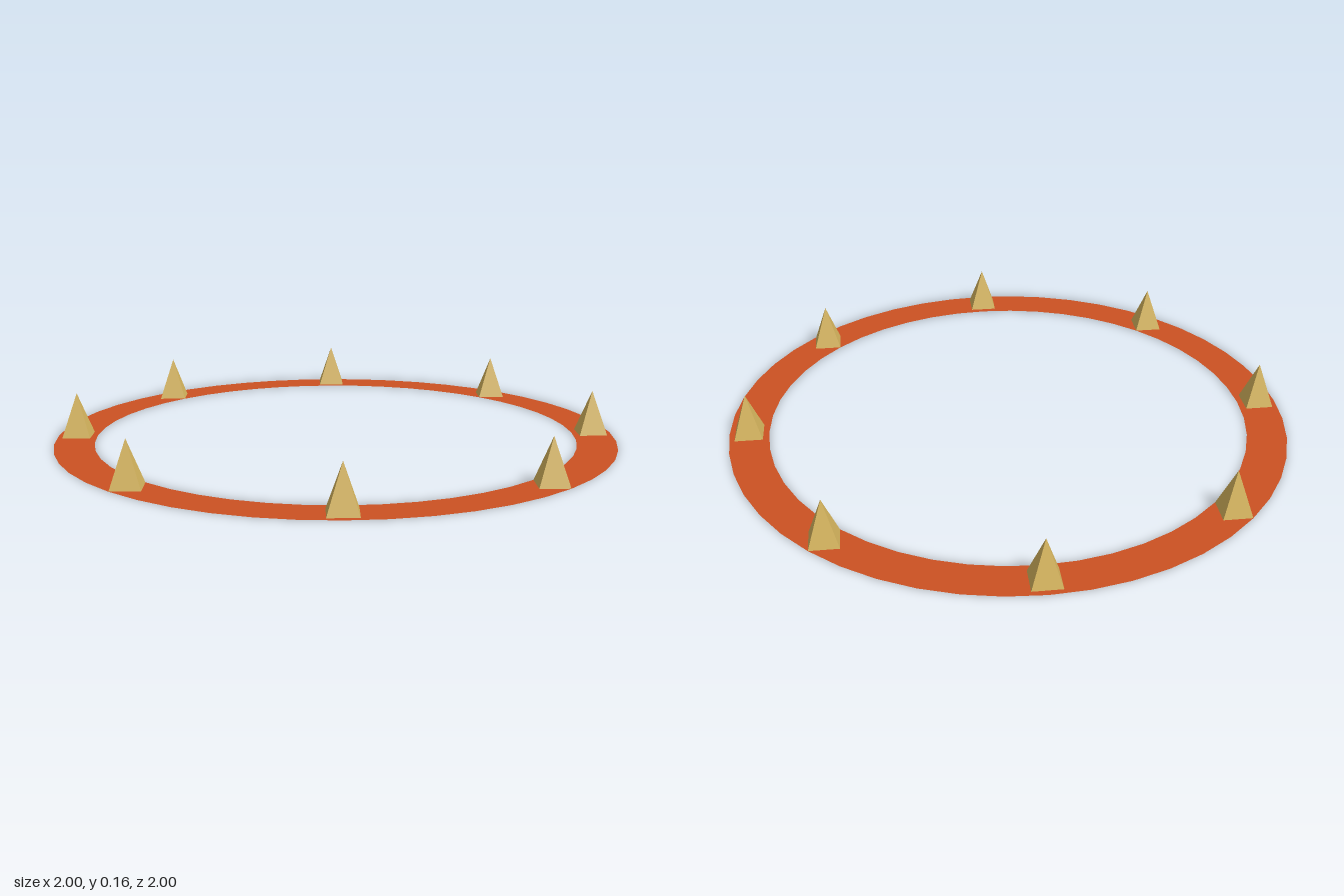
import * as THREE from 'three';

export function createModel() {
  const model = new THREE.Group();
  const orange = new THREE.MeshStandardMaterial({ color: 0xcc5122, side: THREE.DoubleSide });
  orange.name = 'burnt orange';
  const gold = new THREE.MeshStandardMaterial({ color: 0xd6b55e, flatShading: true });
  gold.name = 'gold';

  // Flat band lying on the ground
  const ringGeometry = new THREE.RingGeometry(0.86, 1, 48);
  ringGeometry.rotateX(-Math.PI / 2);
  const ring = new THREE.Mesh(ringGeometry, orange);
  ring.name = 'ring';
  model.add(ring);

  // Eight square pyramids, all aligned with the axes; the band closes their bases
  const height = 0.155;
  const spikeGeometry = new THREE.ConeGeometry(0.07, height, 4, 1, true);
  spikeGeometry.rotateY(Math.PI / 4);
  spikeGeometry.translate(0, height / 2, 0);
  const spikes = new THREE.Group();
  spikes.name = 'spikes';
  for (let i = 0; i < 8; i++) {
    const angle = (i * Math.PI) / 4;
    const spike = new THREE.Mesh(spikeGeometry, gold);
    spike.name = `spike${i + 1}`;
    spike.position.set(0.93 * Math.cos(angle), 0, 0.93 * Math.sin(angle));
    spikes.add(spike);
  }
  model.add(spikes);
  return model;
}
